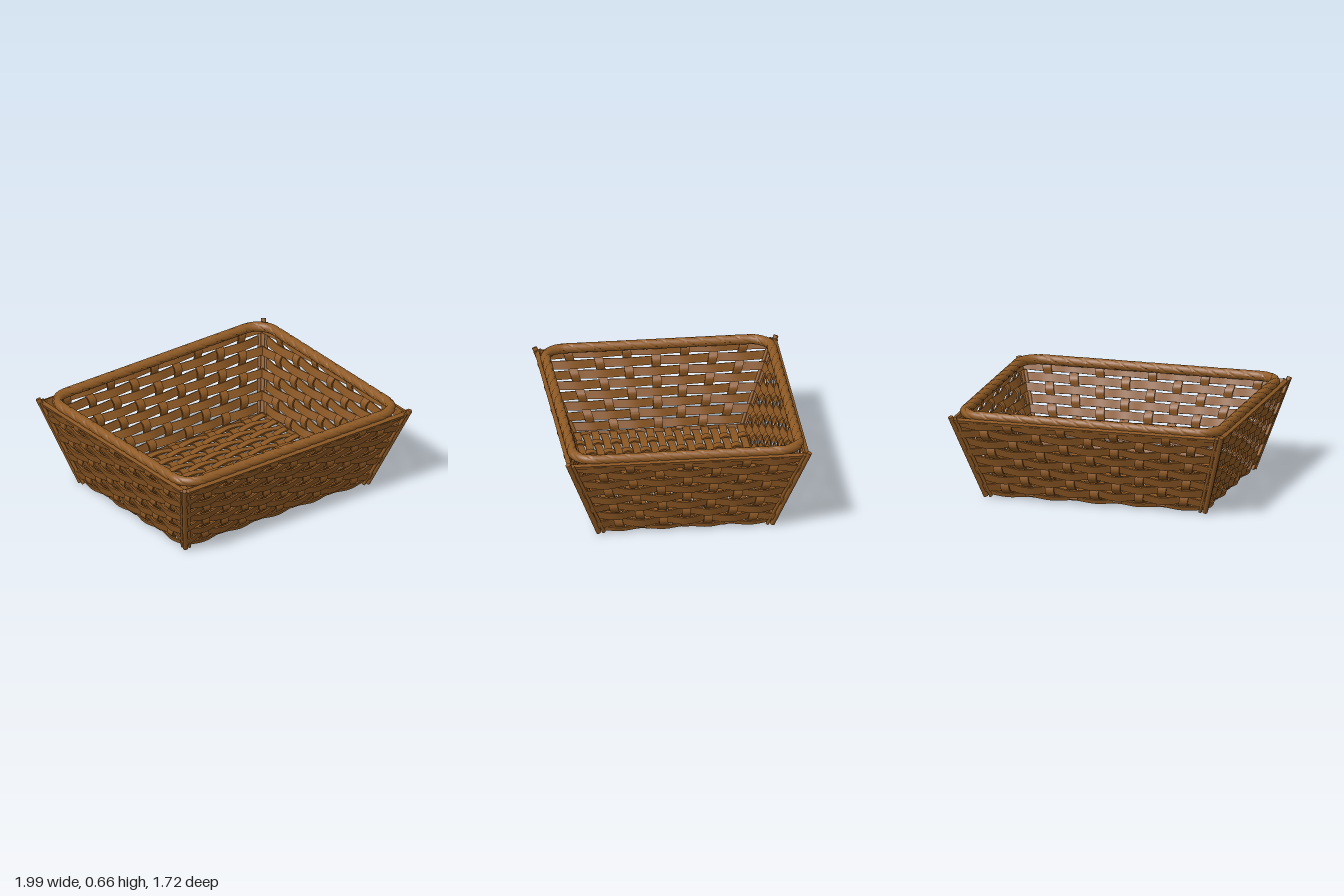
import * as THREE from 'three';
import { toCreasedNormals, mergeGeometries } from 'three/addons/utils/BufferGeometryUtils.js';

const V = (x, y, z) => new THREE.Vector3(x, y, z);
const lerp = THREE.MathUtils.lerp;

// Flat strip with a rectangular section, swept along points (w, t: half-width and half-thickness vectors)
function strip(points, w, t) {
  const pos = [], index = [];
  const dir = points[points.length - 1].clone().sub(points[0]);
  const side = w.clone().cross(t).dot(dir) > 0 ? 1 : -1;
  const corners = [[-1, -1], [1, -1], [1, 1], [-1, 1]];
  points.forEach((p) => corners.forEach(([a, b]) => {
    const c = p.clone().addScaledVector(w, a * side).addScaledVector(t, b);
    pos.push(c.x, c.y, c.z);
  }));
  for (let i = 0; i < points.length - 1; i++) {
    for (let j = 0; j < 4; j++) {
      const a = i * 4 + j, b = i * 4 + (j + 1) % 4;
      index.push(a, b, b + 4, a, b + 4, a + 4);
    }
  }
  const e = (points.length - 1) * 4;
  index.push(0, 2, 1, 0, 3, 2, e, e + 1, e + 2, e, e + 2, e + 3);
  const g = new THREE.BufferGeometry();
  g.setAttribute('position', new THREE.Float32BufferAttribute(pos, 3));
  g.setIndex(index);
  return toCreasedNormals(g, 0.7);
}

// Points of f(s) for s from a to b
function sample(f, a, b, n) {
  return Array.from({ length: n + 1 }, (_, i) => f(lerp(a, b, i / n)));
}

const Y0 = 0.02, Y1 = 0.6;               // wall bottom and top
const BX = 0.785, TX = 0.965;            // half-widths at bottom and top
const BZ = 0.6, TZ = 0.832;              // half-depths at bottom and top
const ROWS = 8, ROW0 = 0.075, PITCH = 0.0694;
const AMP = 0.015, HALF_T = 0.006;
const weave = (k, r) => Math.cos(Math.PI * (k + r));

// One sloping woven wall; out and along are its horizontal directions
function wall(out, along, n, lenB, lenT, outB, outT, parity) {
  const slope = V(0, Y1 - Y0, 0).addScaledVector(out, outT - outB).normalize();
  const normal = out.clone().multiplyScalar(slope.y).add(V(0, -slope.dot(out), 0));
  const at = (k, y, off) => {
    const v = (y - Y0) / (Y1 - Y0);
    return V(0, y, 0).addScaledVector(along, k / n * lerp(lenB, lenT, v))
      .addScaledVector(out, lerp(outB, outT, v)).addScaledVector(normal, off);
  };
  const thick = normal.clone().multiplyScalar(HALF_T);
  const rows = [], spokes = [], bands = [];
  // horizontal strips
  for (let r = 0; r < ROWS; r++) {
    const y = ROW0 + r * PITCH;
    rows.push(strip(sample((k) => at(k, y, AMP * weave(k, r + parity)), -n, n, n * 16),
      slope.clone().multiplyScalar(0.03), thick));
  }
  // wavy lowest strip and straight top band
  rows.push(strip(sample((k) => at(k, 0.026, 0.01 * weave(k, parity - 1)), -n, n, n * 16),
    slope.clone().multiplyScalar(0.015), thick));
  bands.push(strip([at(-n, 0.588, 0), at(n, 0.588, 0)],
    slope.clone().multiplyScalar(0.012), normal.clone().multiplyScalar(0.016)));
  // upright spokes
  for (let k = 1 - n; k < n; k++) {
    spokes.push(strip(
      sample((y) => at(k, y, -AMP * weave(k, (y - ROW0) / PITCH + parity)), 0.03, 0.595, 64),
      along.clone().multiplyScalar(0.031), thick));
  }
  return { rows, spokes, bands };
}

// Round stick between two points
function stick(a, b, r) {
  const d = b.clone().sub(a);
  const g = new THREE.CylinderGeometry(r, r, d.length(), 10);
  g.applyQuaternion(new THREE.Quaternion().setFromUnitVectors(V(0, 1, 0), d.normalize()));
  const m = a.clone().add(b).multiplyScalar(0.5);
  return g.translate(m.x, m.y, m.z);
}

// Rounded-rectangle rim wrapped with spiral grooves
function rimGeometry() {
  const x = 0.925, z = 0.79, r = 0.15;
  const s = new THREE.Shape();
  s.moveTo(0, -z);
  s.lineTo(x - r, -z);
  s.absarc(x - r, -z + r, r, -Math.PI / 2, 0);
  s.lineTo(x, z - r);
  s.absarc(x - r, z - r, r, 0, Math.PI / 2);
  s.lineTo(-x + r, z);
  s.absarc(-x + r, z - r, r, Math.PI / 2, Math.PI);
  s.lineTo(-x, -z + r);
  s.absarc(-x + r, -z + r, r, Math.PI, Math.PI * 1.5);
  s.lineTo(0, -z);
  const pts = s.getSpacedPoints(160).slice(0, -1).map((p) => V(p.x, 0.62, p.y));
  const segs = 640, radial = 24;
  const g = new THREE.TubeGeometry(new THREE.CatmullRomCurve3(pts, true), segs, 0.035, radial, true);
  const p = g.attributes.position, nrm = g.attributes.normal;
  for (let i = 0; i < p.count; i++) {
    const ring = Math.floor(i / (radial + 1)), j = i % (radial + 1);
    const phase = (3 * j / radial + 51 * ring / segs) % 1;
    const d = phase < 0.14 ? -0.005 : 0;
    p.setXYZ(i, p.getX(i) + nrm.getX(i) * d, p.getY(i) + nrm.getY(i) * d, p.getZ(i) + nrm.getZ(i) * d);
  }
  g.computeVertexNormals();
  return g;
}

export function createModel() {
  const model = new THREE.Group();
  model.name = 'basket';
  const wicker = new THREE.MeshStandardMaterial({ name: 'wicker brown', color: 0x8a5623 });
  const rimMat = new THREE.MeshStandardMaterial({ name: 'rim brown', color: 0x8f5a25 });
  const add = (name, geos, mat, parent = model) => {
    const mesh = new THREE.Mesh(mergeGeometries(geos), mat);
    mesh.name = name;
    parent.add(mesh);
  };

  // four walls
  const X = V(1, 0, 0), Z = V(0, 0, 1);
  for (const s of [1, -1]) {
    const walls = {
      [s > 0 ? 'frontWall' : 'backWall']: wall(Z.clone().multiplyScalar(s), X, 5, BX, TX, BZ, TZ, 1),
      [s > 0 ? 'leftWall' : 'rightWall']: wall(X.clone().multiplyScalar(s), Z, 4, BZ, TZ, BX, TX, 0),
    };
    for (const [name, parts] of Object.entries(walls)) {
      const group = new THREE.Group();
      group.name = name;
      add('horizontalStrips', parts.rows, wicker, group);
      add('spokes', parts.spokes, wicker, group);
      add('topBand', parts.bands, wicker, group);
      model.add(group);
    }
  }

  // woven floor
  const floorY = 0.026, pitchX = BX / 5, pitchZ = 0.0635, amp = 0.01;
  const slats = [], straps = [];
  const flat = V(0, 0.005, 0);
  for (let j = -9; j <= 9; j++) {
    slats.push(strip(sample((k) => V(k * pitchX, floorY + amp * weave(k, j), j * pitchZ), -5, 5, 80),
      V(0, 0, 0.026), flat));
  }
  for (let k = -4; k <= 4; k++) {
    straps.push(strip(sample((j) => V(k * pitchX, floorY - amp * weave(k, j), j * pitchZ), -9.4, 9.4, 150),
      V(0.031, 0, 0), flat));
  }
  add('floorSlats', slats, wicker);
  add('floorStraps', straps, wicker);

  // corner posts, each with a thinner stick along both walls
  const posts = [];
  for (const sx of [1, -1]) {
    for (const sz of [1, -1]) {
      const post = (dx, dz, top, r) => posts.push(stick(
        V(sx * (BX + 0.005 - dx), 0.004, sz * (BZ + 0.005 - dz)),
        V(sx * (TX + 0.013 - dx), top, sz * (TZ + 0.011 - dz)), r));
      post(0, 0, 0.615, 0.018);
      post(0.035, 0, 0.6, 0.012);
      post(0, 0.035, 0.6, 0.012);
    }
  }
  add('cornerPosts', posts, wicker);

  // wrapped rim
  add('rim', [rimGeometry()], rimMat);
  return model;
}
